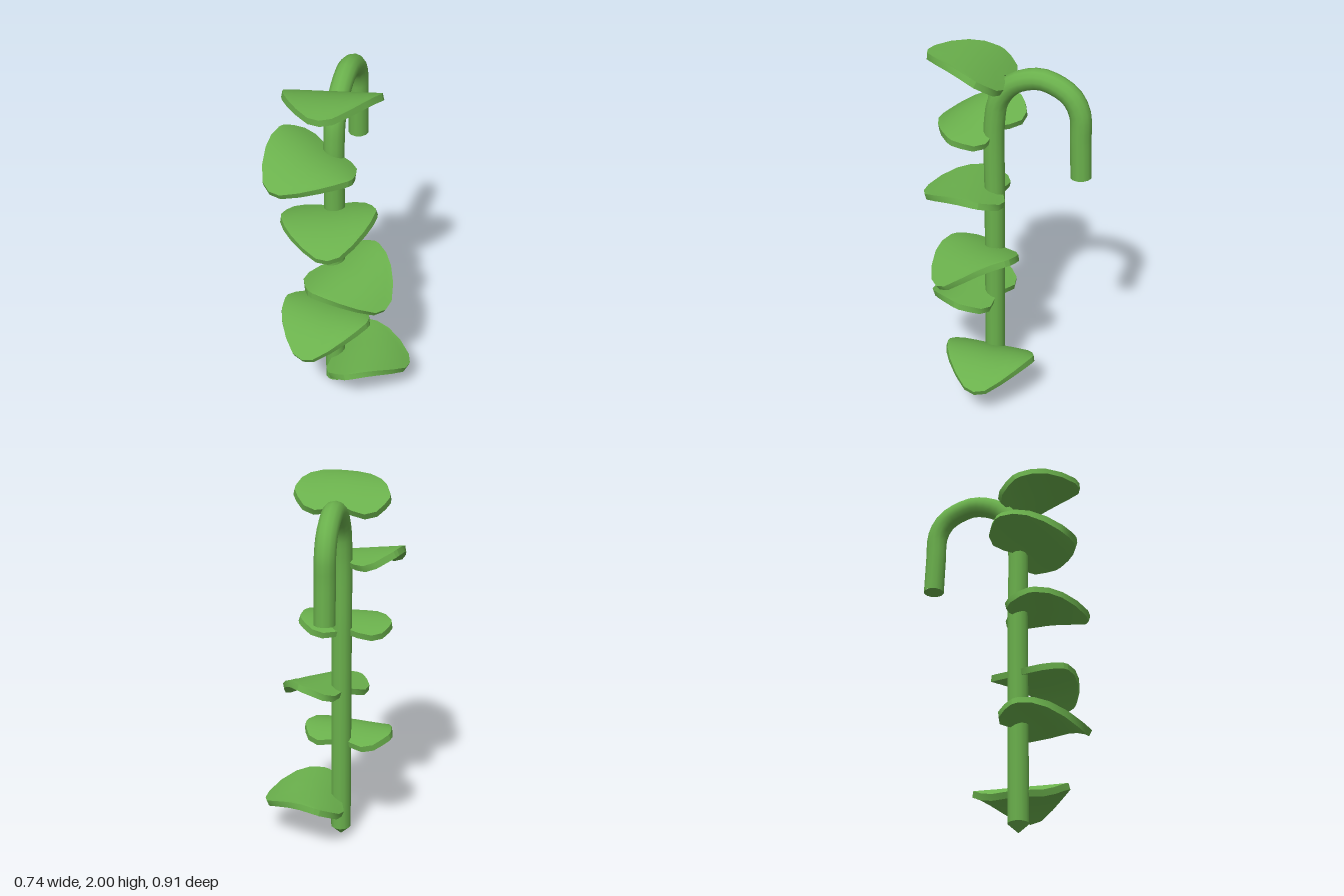
import * as THREE from 'three';

const green = new THREE.MeshStandardMaterial({ color: 0x6ab04c });
green.name = 'leafGreen';

// Half outline of a heart-shaped leaf: [half width, back edge, front edge]
const HALF = [
  [0, 0.01, 0.433], [0.06, -0.015, 0.418], [0.13, -0.03, 0.357],
  [0.19, -0.008, 0.278], [0.228, 0.042, 0.203], [0.25, 0.09, 0.125],
];
const COLUMNS = [...HALF.slice(1).reverse().map(([u, a, b]) => [-u, a, b]), ...HALF];
const ROWS = 8;
const THICK = 0.033;

// Leaf blade arched along its length, of even thickness, with a sloping rim
function leafGeometry(arch) {
  const pos = [], index = [];
  const n = COLUMNS.length;
  const point = (i, j, top) => {
    const [u, back, front] = COLUMNS[i];
    const s = top ? 0.97 : 1;
    const v = 0.2 + (back + (front - back) * j / ROWS - 0.2) * s;
    const t = (v - 0.2) / 0.23;
    const slope = -2 * arch * t / 0.23;
    const depth = top ? 0 : THICK / Math.hypot(1, slope);
    return [u * s, arch * (1 - t * t) - depth, v + slope * depth];
  };
  // upper and lower faces
  for (const top of [true, false]) {
    const start = pos.length / 3;
    for (let i = 0; i < n; i++)
      for (let j = 0; j <= ROWS; j++) pos.push(...point(i, j, top));
    for (let i = 0; i < n - 1; i++)
      for (let j = 0; j < ROWS; j++) {
        const a = start + i * (ROWS + 1) + j, b = a + 1;
        const c = a + ROWS + 1, d = c + 1;
        if (top) index.push(a, b, c, b, d, c);
        else index.push(a, c, b, b, c, d);
      }
  }
  // rim
  const ring = [];
  for (let i = 0; i < n - 1; i++) ring.push([i, 0]);
  for (let j = 0; j < ROWS; j++) ring.push([n - 1, j]);
  for (let i = n - 1; i > 0; i--) ring.push([i, ROWS]);
  for (let j = ROWS; j > 0; j--) ring.push([0, j]);
  const start = pos.length / 3, count = ring.length;
  for (const [i, j] of ring) pos.push(...point(i, j, true), ...point(i, j, false));
  for (let k = 0; k < count; k++) {
    const a = start + 2 * k, b = start + 2 * ((k + 1) % count);
    index.push(a, b, a + 1, b, b + 1, a + 1);
  }
  const g = new THREE.BufferGeometry();
  g.setAttribute('position', new THREE.Float32BufferAttribute(pos, 3));
  g.setIndex(index);
  g.computeVertexNormals();
  return g;
}

// x, y, z of the leaf base, then yaw, pitch, roll and arch height
const LEAVES = [
  [-0.055, 0.2, 0.065, 1.66, 0.0, -0.03, 0.09],
  [-0.05, 0.56, 0.042, -0.18, 0.18, 0.0, 0.085],
  [-0.083, 0.85, 0.06, 1.05, 0.18, 0.15, 0.083],
  [-0.085, 1.2, 0.032, 0.25, 0.05, 0.08, 0.06],
  [-0.078, 1.56, 0.043, -0.5, 0.08, -0.22, 0.073],
  [-0.05, 1.868, 0.004, 0.07, -0.26, 0.07, 0.058],
];

// Centre line of the stem as [z, y]
const PATH = [
  [0.067, 0.05], [0.067, 0.6], [0.067, 1.2], [0.067, 1.63], [0.042, 1.76],
  [-0.035, 1.855], [-0.167, 1.903], [-0.26, 1.885], [-0.342, 1.835],
  [-0.388, 1.75], [-0.396, 1.6], [-0.404, 1.4],
];

export function createModel() {
  const model = new THREE.Group();
  model.name = 'vine';
  const add = (name, geometry) => {
    const mesh = new THREE.Mesh(geometry, green);
    mesh.name = name;
    model.add(mesh);
    return mesh;
  };
  const R = 0.055, X = -0.05, SIDES = 12;

  // hooked stem
  const curve = new THREE.CatmullRomCurve3(PATH.map(([z, y]) => new THREE.Vector3(X, y, z)));
  add('stem', new THREE.TubeGeometry(curve, 60, R, SIDES, false));

  // pointed lower end
  const tip = add('stemTip', new THREE.ConeGeometry(R, 0.05, SIDES, 1, true));
  tip.rotation.x = Math.PI;
  tip.position.set(X, 0.025, 0.067);

  // flat cap on the hook end
  const cap = add('hookEnd', new THREE.CircleGeometry(R, SIDES));
  cap.rotation.x = Math.PI / 2;
  cap.position.set(X, 1.4, -0.404);

  // leaves spiralling up the stem
  LEAVES.forEach(([x, y, z, yaw, pitch, roll, arch], i) => {
    const leaf = add(`leaf${i + 1}`, leafGeometry(arch));
    leaf.position.set(x, y, z);
    leaf.rotation.set(pitch, yaw, roll, 'YXZ');
  });
  return model;
}
